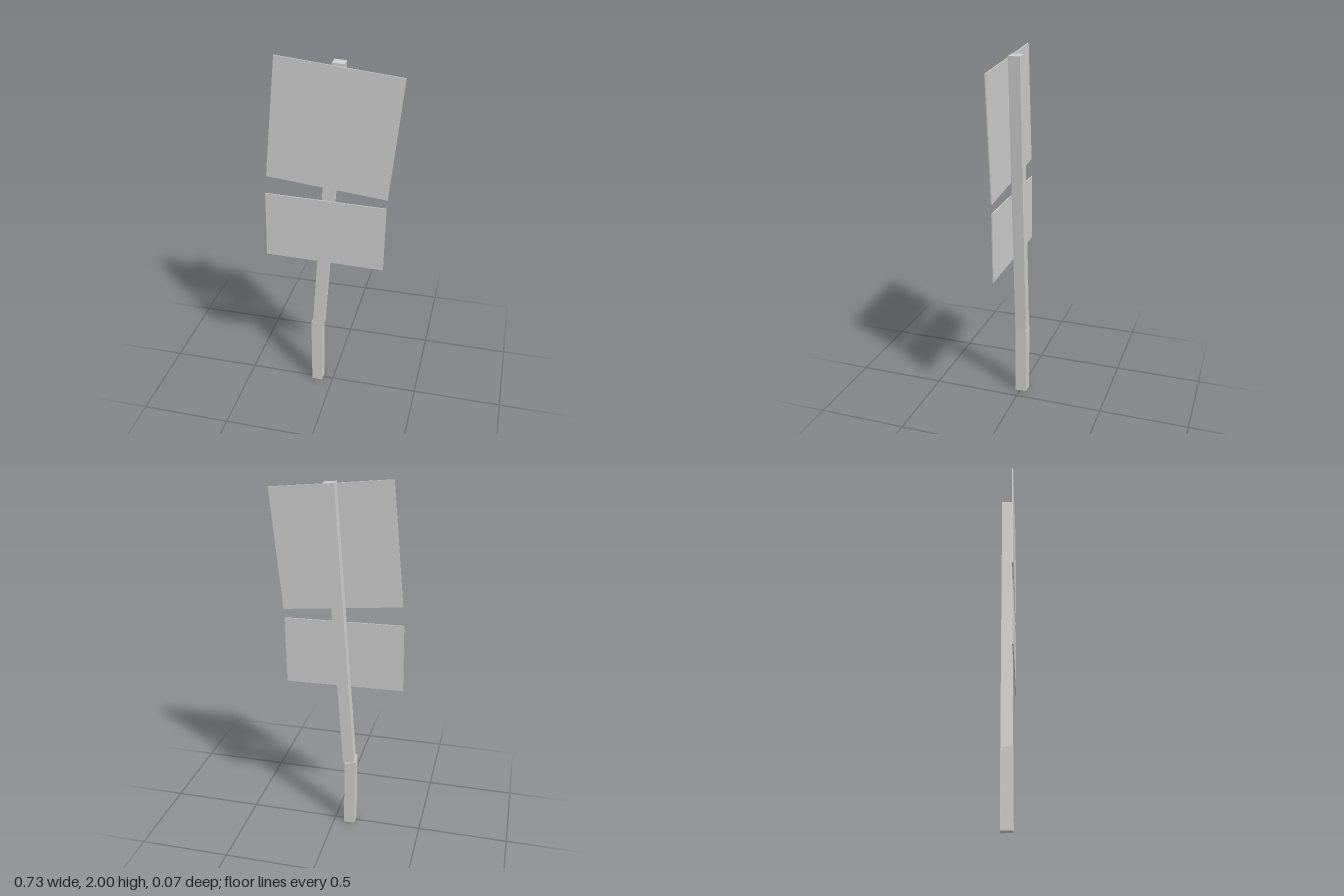
import * as THREE from 'three';

export function createModel() {
  const group = new THREE.Group();
  const material = new THREE.MeshStandardMaterial({ color: 0xcccccc, flatShading: true });

  function addBox(name, [w, h, d], [x, y, z], tilt = 0) {
    const mesh = new THREE.Mesh(new THREE.BoxGeometry(w, h, d), material);
    mesh.name = name;
    mesh.position.set(x, y, z);
    mesh.rotation.z = tilt;
    group.add(mesh);
    return mesh;
  }

  // Upright stump, its broken top sloping down to the right and back
  const stump = addBox('lowerPost', [0.061, 0.414, 0.065], [-0.091, 0.207, -0.0045]);
  const p = stump.geometry.attributes.position;
  for (let i = 0; i < p.count; i++) {
    if (p.getY(i) > 0) p.setY(i, p.getY(i) - p.getX(i) * 0.16 + p.getZ(i) * 0.3);
  }
  stump.geometry.computeVertexNormals();

  // Leaning post above the break
  addBox('upperPost', [0.062, 1.575, 0.063], [-0.026, 1.194, -0.0055], -0.0727);

  // Thin sign panels on the front of the post
  addBox('upperPanel', [0.655, 0.658, 0.006], [0.005, 1.64, 0.033], -0.1);
  addBox('lowerPanel', [0.657, 0.379, 0.006], [-0.038, 1.046, 0.033], -0.018);

  return group;
}
